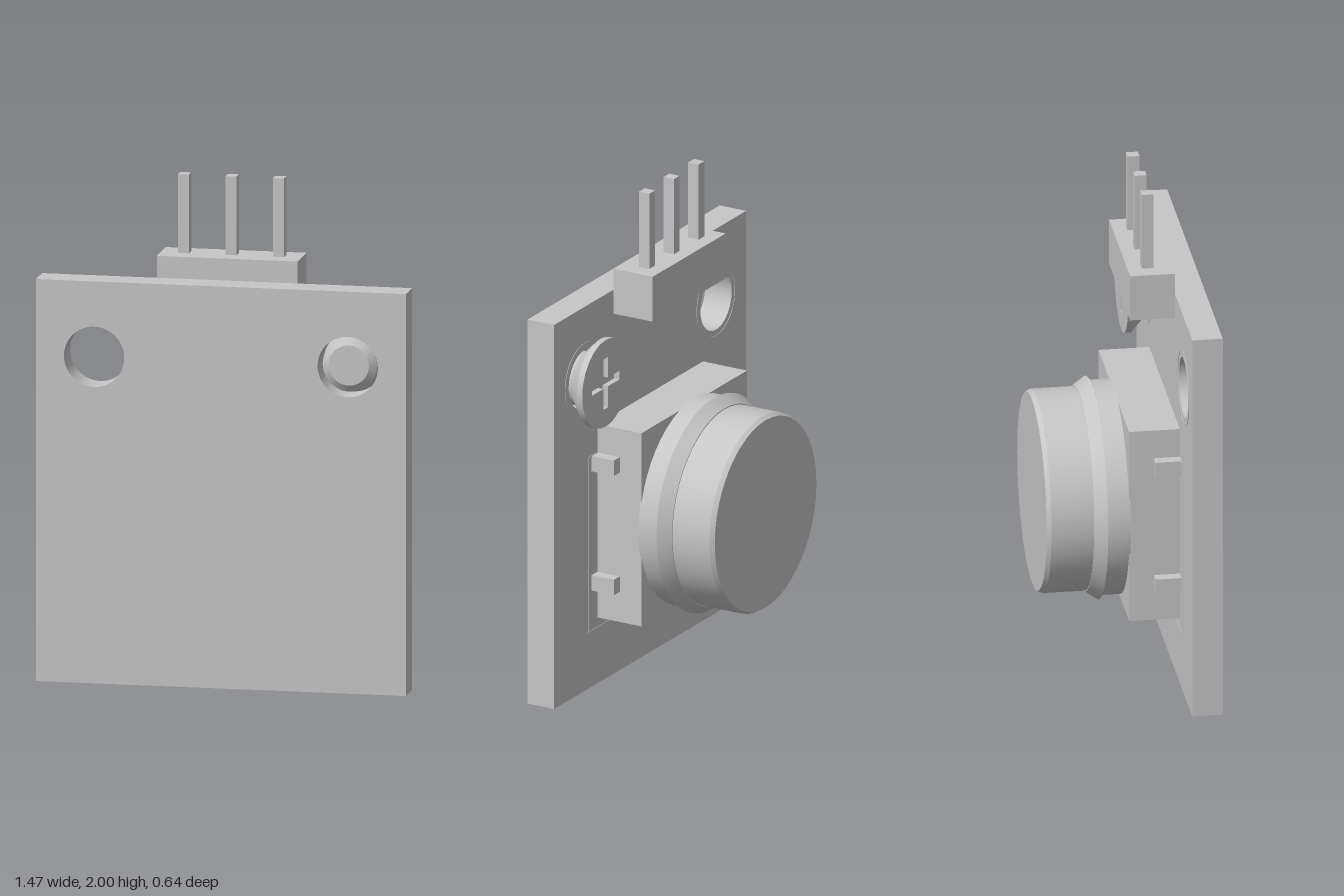
import * as THREE from 'three';
import { toCreasedNormals } from 'three/addons/utils/BufferGeometryUtils.js';

export function createModel() {
  const model = new THREE.Group();
  const grey = new THREE.MeshStandardMaterial({ color: 0xc6c6c6 });
  grey.name = 'light grey';

  const add = (name, geometry, x = 0, y = 0, z = 0) => {
    const mesh = new THREE.Mesh(geometry, grey);
    mesh.name = name;
    mesh.position.set(x, y, z);
    model.add(mesh);
  };
  // box given by its limits
  const box = (name, x0, x1, y0, y1, z0, z1) =>
    add(name, new THREE.BoxGeometry(x1 - x0, y1 - y0, z1 - z0), (x0 + x1) / 2, (y0 + y1) / 2, (z0 + z1) / 2);
  // turned part whose axis points to the back; profile is [radius, distance towards -z]
  const turned = (name, profile, x, y) => {
    const g = new THREE.LatheGeometry(profile.map(p => new THREE.Vector2(...p)), 48);
    g.rotateX(-Math.PI / 2);
    add(name, toCreasedNormals(g, 0.4), x, y);
  };
  const extrude = (shape, depth) => toCreasedNormals(
    new THREE.ExtrudeGeometry(shape, { depth, bevelEnabled: false, curveSegments: 32 }), 0.5);
  const rect = (x0, x1, y0, y1, Type = THREE.Shape) => new Type([
    new THREE.Vector2(x0, y0), new THREE.Vector2(x1, y0), new THREE.Vector2(x1, y1), new THREE.Vector2(x0, y1)]);
  const circle = (x, y, r, Type = THREE.Path) => new Type().absarc(x, y, r, 0, Math.PI * 2, false);

  // circuit board with two mounting holes
  const holeX = 0.505, holeY = 1.3, holeR = 0.12;
  const board = rect(-0.737, 0.737, 0, 1.6);
  for (const s of [-1, 1]) board.holes.push(circle(s * holeX, holeY, holeR));
  add('board', extrude(board, 0.12), 0, 0, 0.2);

  // thin printed outlines on the back
  for (const s of [-1, 1]) {
    const ring = circle(0, 0, 0.15, THREE.Shape);
    ring.holes.push(circle(0, 0, 0.143));
    add('holeOutline', extrude(ring, 0.002), s * holeX, holeY, 0.198);
  }
  const outline = rect(-0.475, 0.475, 0.23, 0.965);
  outline.holes.push(rect(-0.469, 0.469, 0.236, 0.959, THREE.Path));
  add('buttonOutline', extrude(outline, 0.002), 0, 0, 0.198);

  // pin header with its solder pads
  box('headerBlock', -0.28, 0.28, 1.5, 1.687, 0.023, 0.2);
  for (const x of [-0.189, 0, 0.189]) {
    box('headerPin', x - 0.022, x + 0.022, 1.68, 2, 0.079, 0.126);
    box('headerPad', x - 0.05, x + 0.05, 1.475, 1.51, 0.198, 0.2);
  }

  // push button: body, side contacts and round cap
  box('buttonBody', -0.405, 0.405, 0.275, 1.08, 0, 0.2);
  for (const s of [-1, 1]) for (const y of [0.433, 0.93])
    box('buttonContact', s * 0.415 - 0.035, s * 0.415 + 0.035, y - 0.032, y + 0.032, 0.098, 0.2);
  turned('buttonCap', [[0, -0.005], [0.421, -0.005], [0.421, 0.087], [0.438, 0.087], [0.404, 0.137],
    [0.4, 0.137], [0.4, 0.305], [0.39, 0.323], [0, 0.323]], 0, 0.675);

  // screw with a chamfered end and a cross slot in its head
  const screwX = 0.503;
  turned('screwBody', [[0, -0.29], [0.08, -0.29], [0.108, -0.27], [0.108, -0.2], [0.18, -0.129], [0, -0.129]], screwX, holeY);
  const head = circle(0, 0, 0.18, THREE.Shape);
  const a = 0.105, b = 0.018;
  head.holes.push(new THREE.Path([[a, -b], [a, b], [b, b], [b, a], [-b, a], [-b, b], [-a, b], [-a, -b],
    [-b, -b], [-b, -a], [b, -a], [b, -b]].map(p => new THREE.Vector2(...p))));
  add('screwHead', extrude(head, 0.025), screwX, holeY, 0.104);

  return model;
}
